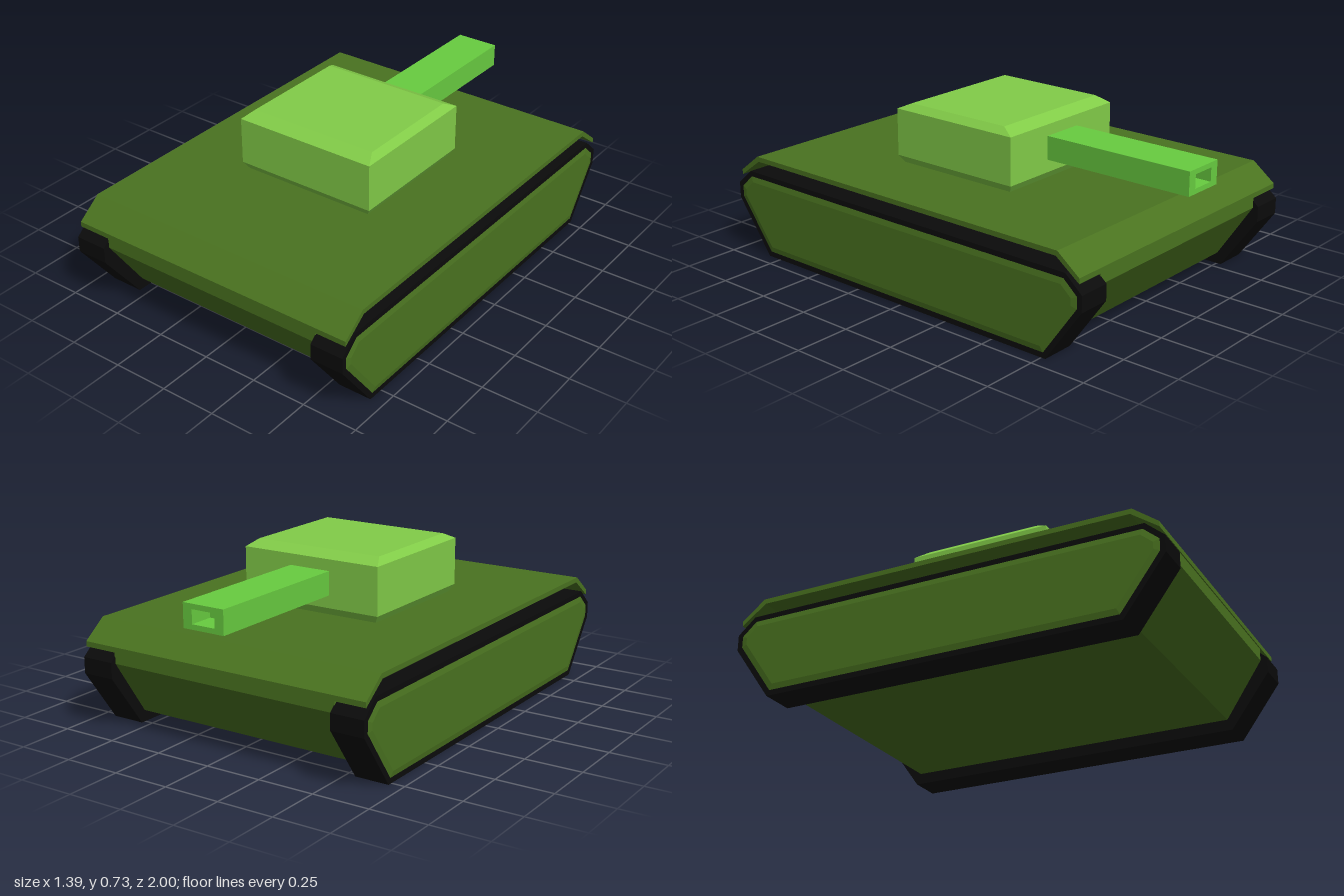
import * as THREE from 'three';

const paint = (color, side = THREE.FrontSide) =>
  new THREE.MeshStandardMaterial({ color, flatShading: true, side });
const hullGreen = paint(0x4a7320);
const trackBlack = paint(0x0b0b0b);
const turretGreen = paint(0x82cc48);
const barrelGreen = paint(0x68cc40);

const shapeOf = (pts) => new THREE.Shape(pts.map(([a, b]) => new THREE.Vector2(a, b)));

// Side profile of [z, y] points, extruded across x and centred on x = cx
function acrossX(pts, width, cx = 0, bevel = null) {
  const t = bevel ? bevel.thickness : 0;
  const geo = new THREE.ExtrudeGeometry(shapeOf(pts), {
    depth: width - 2 * t,
    bevelEnabled: !!bevel,
    bevelThickness: t,
    bevelSize: bevel ? bevel.size : 0,
    bevelOffset: bevel ? -bevel.size : 0,
    bevelSegments: 1,
  });
  geo.translate(0, 0, -(width - 2 * t) / 2);
  geo.rotateY(-Math.PI / 2);
  geo.translate(cx, 0, 0);
  return geo;
}

export function createModel() {
  const model = new THREE.Group();
  const add = (name, geo, mat) => {
    const mesh = new THREE.Mesh(geo, mat);
    mesh.name = name;
    model.add(mesh);
    return mesh;
  };

  // Hull between the tracks
  add('hull', acrossX([
    [-0.75, 0.05], [0.80, 0.05], [0.97, 0.30], [0.97, 0.372],
    [0.865, 0.445], [-0.805, 0.445], [-0.915, 0.372], [-0.915, 0.30],
  ], 1.085), hullGreen);

  // Thin deck plate with sloping ends, covering the tracks
  add('deck', acrossX([
    [0.978, 0.375], [0.87, 0.457], [-0.82, 0.457], [-0.925, 0.375],
    [-0.925, 0.352], [-0.813, 0.435], [0.863, 0.435], [0.978, 0.352],
  ], 1.376), hullGreen);

  // Tracks and their slightly raised side panels
  const track = [
    [-0.77, 0], [0.82, 0], [1.0, 0.24], [1.0, 0.31],
    [0.92, 0.38], [-0.86, 0.38], [-0.94, 0.31], [-0.94, 0.24],
  ];
  const panel = [
    [-0.758, 0.024], [0.808, 0.024], [0.977, 0.25], [0.977, 0.30],
    [0.912, 0.357], [-0.852, 0.357], [-0.917, 0.30], [-0.917, 0.25],
  ];
  for (const [side, s] of [['left', 1], ['right', -1]]) {
    add(side + 'Track', acrossX(track, 0.15, s * 0.615), trackBlack);
    add(side + 'SidePanel',
      acrossX(panel, 0.07, s * 0.66, { thickness: 0.005, size: 0.025 }), hullGreen);
  }

  // Turret: a box in three layers, tapered at top and bottom
  const turret = new THREE.BoxGeometry(2, 3, 2, 1, 3, 1);
  const layers = [
    { y: 0.455, x: 0.313, z: 0.298 },
    { y: 0.49, x: 0.335, z: 0.32 },
    { y: 0.70, x: 0.335, z: 0.32 },
    { y: 0.728, x: 0.305, z: 0.26 },
  ];
  const p = turret.attributes.position;
  for (let i = 0; i < p.count; i++) {
    const l = layers[Math.round(p.getY(i) + 1.5)];
    p.setXYZ(i, Math.sign(p.getX(i)) * l.x, l.y, Math.sign(p.getZ(i)) * l.z + 0.025);
  }
  turret.computeVertexNormals();
  add('turret', turret, turretGreen);

  // Square barrel with a rectangular bore, pointing to the back
  const section = shapeOf([[-0.098, -0.052], [0.098, -0.052], [0.098, 0.052], [-0.098, 0.052]]);
  section.holes.push(new THREE.Path(
    [[-0.055, -0.03], [-0.055, 0.03], [0.055, 0.03], [0.055, -0.03]]
      .map(([a, b]) => new THREE.Vector2(a, b))));
  const barrel = new THREE.ExtrudeGeometry(section, { depth: 0.72, bevelEnabled: false });
  add('barrel', barrel, barrelGreen).position.set(0, 0.598, -1);

  // Back wall of the bore
  add('boreEnd', new THREE.BoxGeometry(0.11, 0.06, 0.02), barrelGreen).position.set(0, 0.598, -0.88);

  // Centre the length on z = 0
  return model;
}
